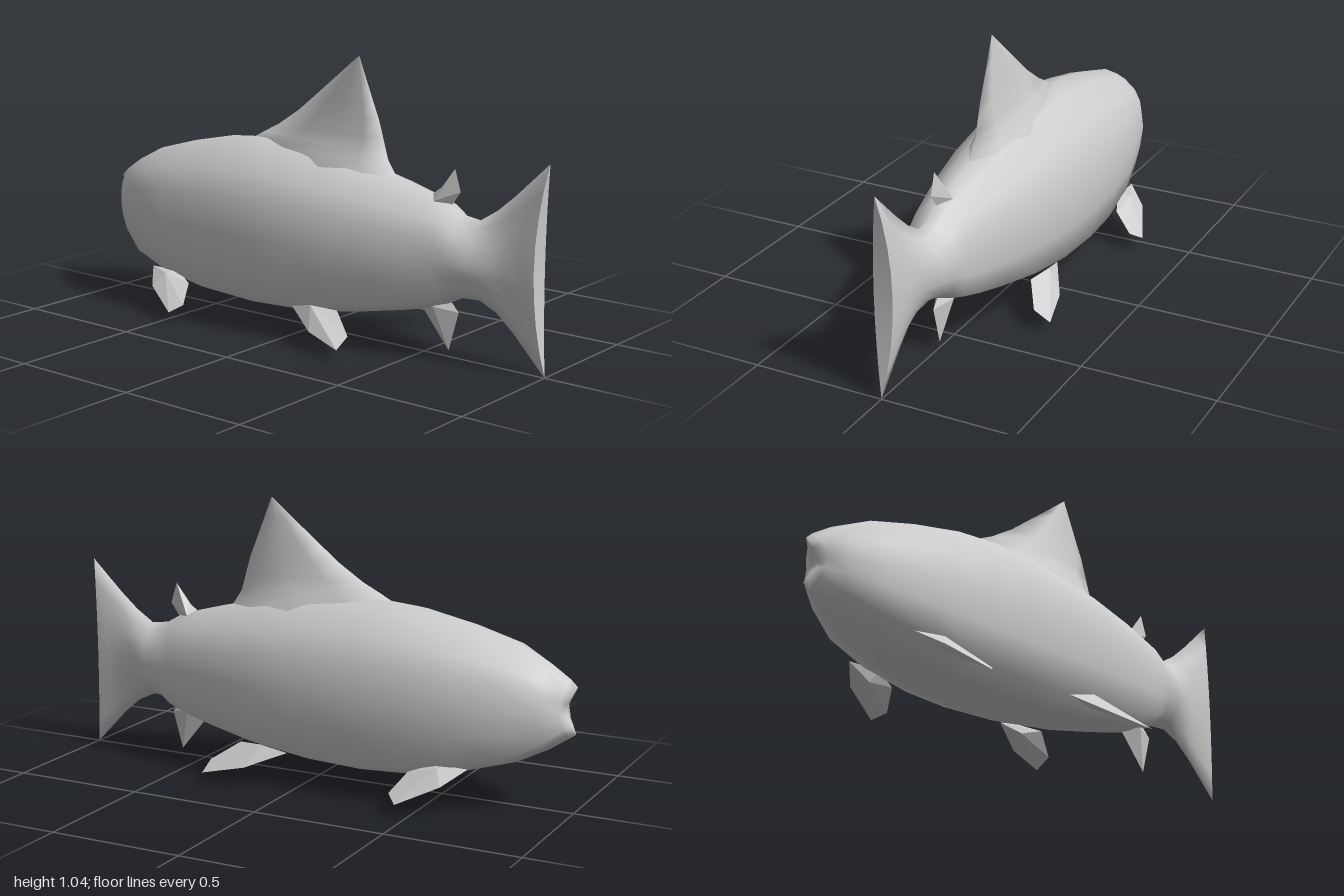
import * as THREE from 'three';

const scaleGrey = new THREE.MeshStandardMaterial({ color: 0xcccccc, side: THREE.DoubleSide });
scaleGrey.name = 'scaleGrey';

function part(name, geometry) {
  geometry.computeVertexNormals();
  const mesh = new THREE.Mesh(geometry, scaleGrey);
  mesh.name = name;
  return mesh;
}

// Skin a list of closed rings that all have the same number of points
function loft(rings) {
  const n = rings[0].length, index = [];
  for (let i = 0; i < rings.length - 1; i++) {
    for (let j = 0; j < n; j++) {
      const k = (j + 1) % n, a = i * n, b = a + n;
      index.push(a + j, a + k, b + k, a + j, b + k, b + j);
    }
  }
  const g = new THREE.BufferGeometry();
  g.setAttribute('position', new THREE.Float32BufferAttribute(rings.flat(2), 3));
  g.setIndex(index);
  return g;
}

// Half cross-section of the trunk: height fraction, width fraction
const section = [[1, 0], [0.965, 0.33], [0.84, 0.73], [0.69, 0.92], [0.49, 1],
  [0.3, 0.94], [0.1, 0.83], [0.035, 0.42], [0, 0]];

// One upright ring; lens blends the trunk shape into a thin tail shape,
// notch pushes the middle of the ring along x
function bodyRing([x, top, bottom, half, lens = 0, notch = 0]) {
  const side = section.map(([t, w], i) => {
    const tt = THREE.MathUtils.lerp(t, 1 - i / 8, lens);
    const s = 2 * tt - 1;
    const width = THREE.MathUtils.lerp(w, 1 - s * s, lens) * half;
    return [x + notch * (1 - Math.abs(s) ** (notch > 0 ? 1 : 2)), bottom + (top - bottom) * tt, width];
  });
  return [...side, ...side.slice(1, -1).reverse().map(([a, b, c]) => [a, b, -c])];
}

// x, top, bottom, half width, lens, notch
const stations = [
  [-1, 0.455, 0.295, 0, 0.6, 0.045],
  [-1, 0.46, 0.29, 0.02, 0.6, 0.045],
  [-0.975, 0.485, 0.272, 0.06, 0.5, 0.025],
  [-0.9, 0.535, 0.222, 0.115, 0.2],
  [-0.78, 0.595, 0.16, 0.172],
  [-0.6, 0.645, 0.105, 0.215],
  [-0.4, 0.687, 0.07, 0.235],
  [-0.22, 0.702, 0.06, 0.24],
  [0, 0.69, 0.07, 0.235],
  [0.2, 0.662, 0.095, 0.21],
  [0.4, 0.617, 0.137, 0.172],
  [0.52, 0.585, 0.165, 0.142],
  [0.6, 0.56, 0.195, 0.122],
  [0.66, 0.525, 0.226, 0.11, 0.2],
  [0.73, 0.515, 0.23, 0.092, 0.6],
  [0.8, 0.56, 0.198, 0.06, 1],
  [0.87, 0.62, 0.138, 0.041, 1, -0.008],
  [0.94, 0.687, 0.065, 0.04, 1, -0.02],
  [1, 0.745, 0.003, 0.036, 1, -0.032],
];

// Dorsal fin levels: y, front x, back x, half thickness
const dorsalLevels = [[0.58, -0.3, 0.42, 0.12], [0.63, -0.32, 0.365, 0.1], [0.68, -0.32, 0.332, 0.075],
  [0.72, -0.245, 0.32, 0.052], [0.755, -0.175, 0.31, 0.042], [0.82, -0.075, 0.29, 0.029],
  [0.88, 0, 0.265, 0.02], [0.96, 0.1, 0.233, 0.01], [1.04, 0.199, 0.201, 0.001]];

function dorsalRing([y, front, back, half]) {
  const p = (u, w) => [front + (back - front) * u, y, w * half];
  return [p(0, 0), p(0.3, 0.7), p(0.6, 1), p(0.85, 0.6), p(1, 0),
    p(0.85, -0.6), p(0.6, -1), p(0.3, -0.7)];
}

// Small blade: the outline joined to a swollen point on each side of its root
function blade(name, outline, root, swell) {
  const verts = [];
  for (const sign of [1, -1]) {
    const apex = root.map((v, i) => v + sign * swell[i]);
    outline.forEach((p, i) => {
      const q = outline[(i + 1) % outline.length];
      verts.push(...(sign > 0 ? [p, q, apex] : [q, p, apex]));
    });
  }
  const g = new THREE.BufferGeometry();
  g.setAttribute('position', new THREE.Float32BufferAttribute(verts.flat(), 3));
  return part(name, g);
}

export function createModel() {
  const fish = new THREE.Group();
  fish.name = 'fish';

  // Head, trunk and tail fin as one smooth skin, closed by a crisp rear face
  const last = stations[stations.length - 1];
  const seam = [...last];
  seam[3] = 0;
  fish.add(part('body', loft(stations.map(bodyRing))));
  fish.add(part('tailEdge', loft([bodyRing(last), bodyRing(seam)])));

  fish.add(part('dorsalFin', loft(dorsalLevels.map(dorsalRing))));

  // Small fins on the centre line
  fish.add(blade('adiposeFin',
    [[0.53, 0.583, 0], [0.565, 0.61, 0], [0.62, 0.682, 0], [0.645, 0.602, 0], [0.605, 0.545, 0]],
    [0.555, 0.565, 0], [0, 0, 0.035]));
  fish.add(blade('analFin',
    [[0.49, 0.165, 0], [0.605, 0.025, 0], [0.645, 0.17, 0], [0.61, 0.21, 0]],
    [0.56, 0.185, 0], [0, 0, 0.035]));

  // Paired fins on the lower corners of the trunk
  for (const [label, s] of [['left', 1], ['right', -1]]) {
    const m = (list) => list.map(([x, y, z]) => [x, y, z * s]);
    fish.add(blade(label + 'PectoralFin',
      m([[-0.67, 0.165, 0.175], [-0.6, 0.112, 0.255], [-0.455, 0.045, 0.318],
        [-0.415, 0.072, 0.28], [-0.455, 0.135, 0.205], [-0.54, 0.165, 0.17]]),
      [-0.57, 0.14, 0.2 * s], [0, 0.022, 0.014 * s]));
    fish.add(blade(label + 'PelvicFin',
      m([[0.04, 0.13, 0.185], [0.18, 0.075, 0.263], [0.335, 0.045, 0.3],
        [0.335, 0.08, 0.235], [0.24, 0.145, 0.175]]),
      [0.14, 0.132, 0.19 * s], [0, 0.022, 0.014 * s]));
  }
  return fish;
}
